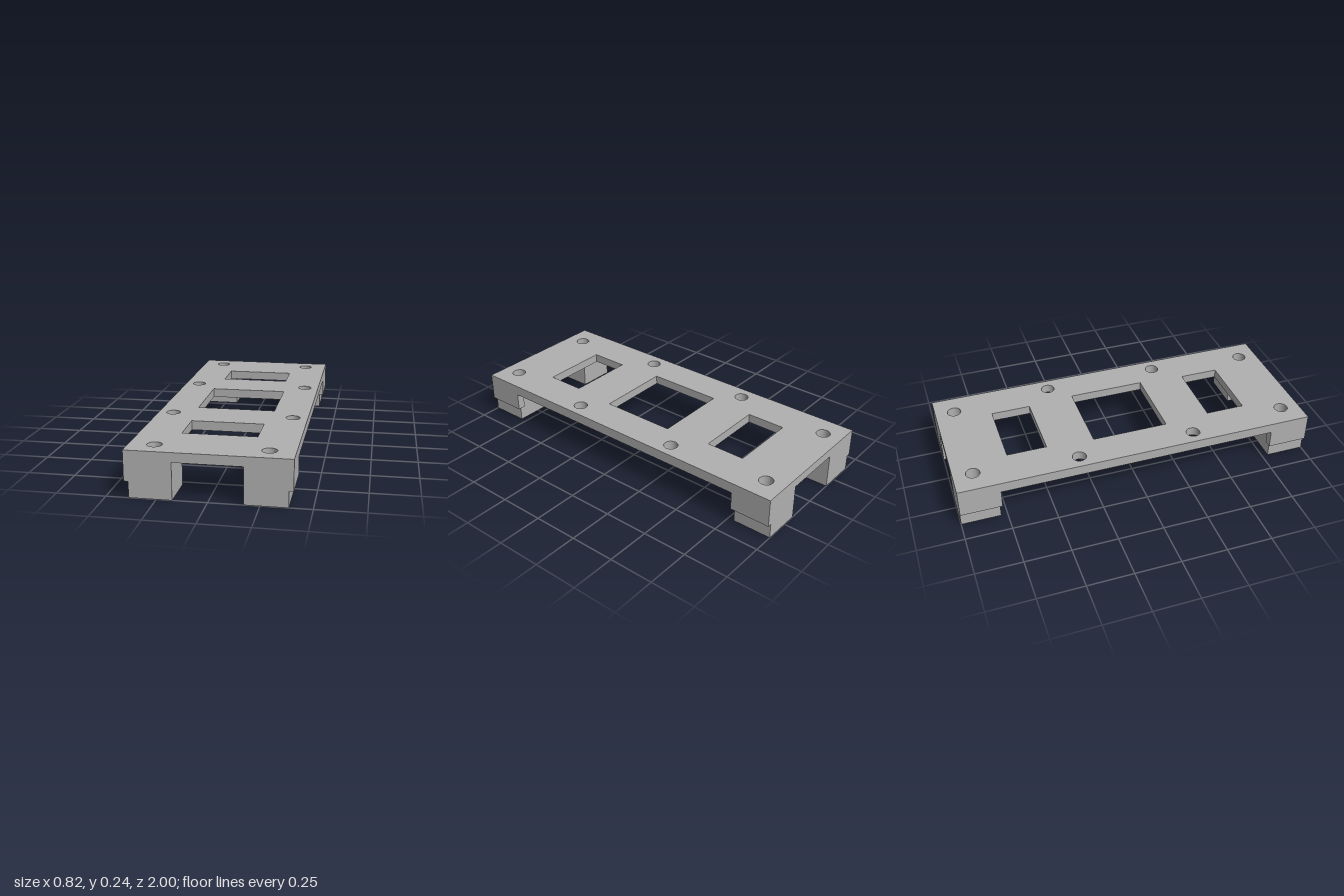
import * as THREE from 'three';

const grey = new THREE.MeshStandardMaterial({ color: 0xb0b0b0 });
grey.name = 'grey';

// Closed rectangle between two plan corners (v = -z)
function rect(Type, x0, x1, v0, v1) {
  return new Type([[x0, v0], [x1, v0], [x1, v1], [x0, v1]].map(([x, v]) => new THREE.Vector2(x, v)));
}

function roundHole(x, v) {
  return new THREE.Path().absarc(x, v, 0.038, 0, Math.PI * 2, true);
}

// Extrude a plan outline upwards from y0 to y1
function slab(name, shape, y0, y1) {
  const geometry = new THREE.ExtrudeGeometry(shape, { depth: y1 - y0, bevelEnabled: false, curveSegments: 24 });
  geometry.rotateX(-Math.PI / 2).translate(0, y0, 0);
  const mesh = new THREE.Mesh(geometry, grey);
  mesh.name = name;
  return mesh;
}

function box(name, x0, x1, y0, y1, z0, z1) {
  const geometry = new THREE.BoxGeometry(x1 - x0, y1 - y0, z1 - z0);
  geometry.translate((x0 + x1) / 2, (y0 + y1) / 2, (z0 + z1) / 2);
  const mesh = new THREE.Mesh(geometry, grey);
  mesh.name = name;
  return mesh;
}

export function createModel() {
  const model = new THREE.Group();
  model.name = 'mountingBracket';
  const W = 0.408, underside = 0.19, top = 0.24;

  // Top plate with three windows and eight screw holes
  const plate = rect(THREE.Shape, -W, W, -1, 1);
  plate.holes.push(
    rect(THREE.Path, -0.213, 0.213, -0.213, 0.213),
    rect(THREE.Path, -0.193, 0.193, 0.473, 0.692),
    rect(THREE.Path, -0.193, 0.193, -0.692, -0.473)
  );
  for (const sx of [-1, 1]) for (const sz of [-1, 1]) {
    plate.holes.push(roundHole(sx * 0.28, sz * 0.893), roundHole(sx * 0.328, sz * 0.328));
  }
  model.add(slab('topPlate', plate, underside, top));

  for (const sx of [-1, 1]) {
    const side = sx < 0 ? 'right' : 'left';
    const span = (a, b) => (sx > 0 ? [a, b] : [-b, -a]);

    // Shallow lip under each long edge
    model.add(box(side + 'EdgeLip', ...span(0.386, W), 0.183, underside, -0.775, 0.775));

    for (const sz of [-1, 1]) {
      const end = sz < 0 ? 'Back' : 'Front';
      const depth = (a) => (sz > 0 ? [a, 1] : [-1, -a]);

      // Leg drilled through from top to bottom
      const leg = rect(THREE.Shape, ...span(0.172, 0.386), ...depth(0.785));
      leg.holes.push(roundHole(sx * 0.28, sz * 0.893));
      model.add(slab(side + end + 'Leg', leg, 0, underside));

      // Side cheek that overhangs the leg
      model.add(box(side + end + 'Cheek', ...span(0.363, W), 0.083, underside, ...depth(0.775)));
    }
  }
  return model;
}
